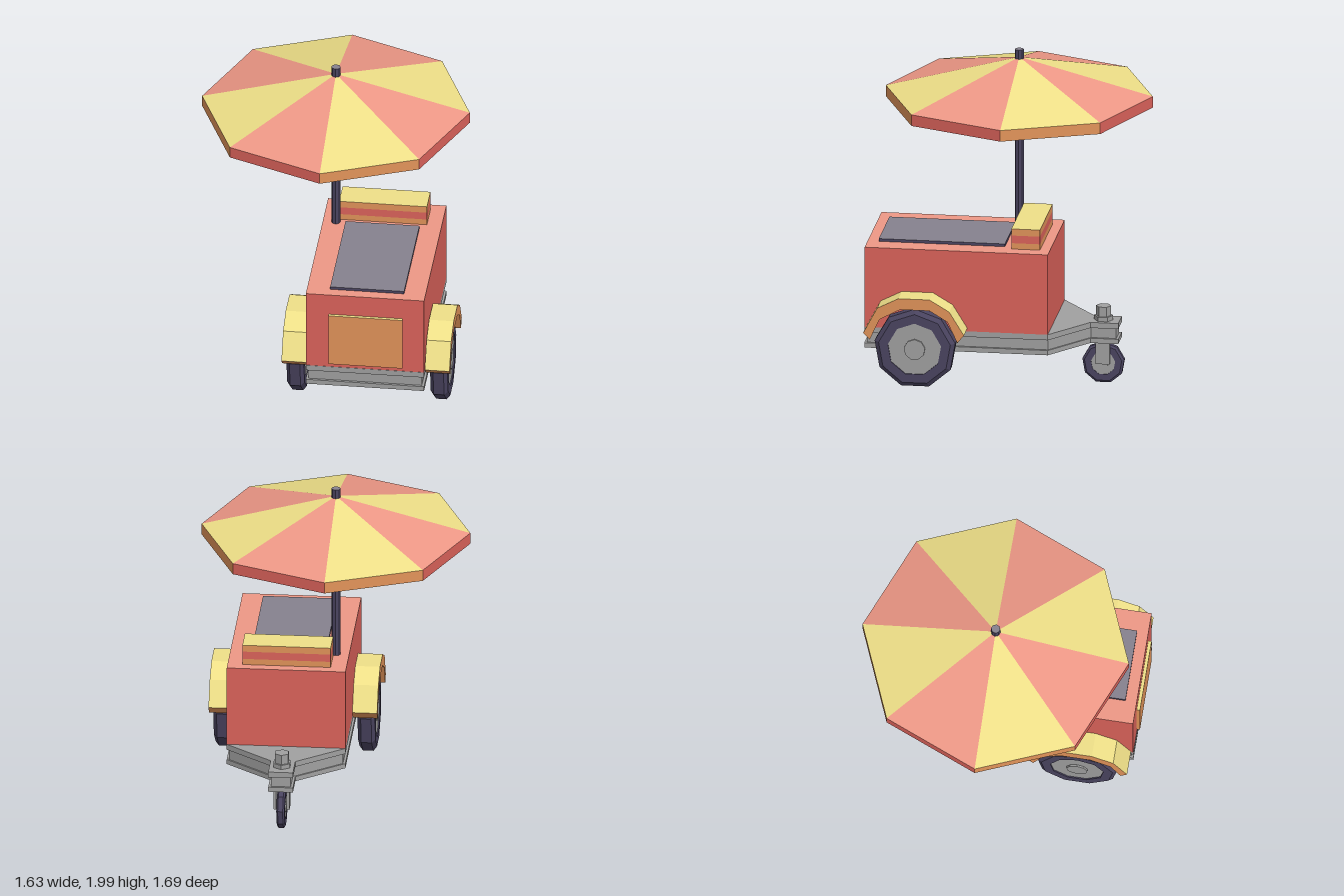
import * as THREE from 'three';

const mat = (color, side = THREE.FrontSide) => new THREE.MeshStandardMaterial({ color, side, flatShading: true });
const RED = mat(0xdc635b), PINK = mat(0xee9886), ORANGE = mat(0xe2945a), YELLOW = mat(0xefe088);
const DARK = mat(0x4a4460), LID = mat(0x86818e), GREY = mat(0xa0a0a0);
const RED_IN = mat(0xdc635b, THREE.BackSide), ORANGE_IN = mat(0xe2945a, THREE.BackSide);
const CX = 0.28; // centre line of the cart

function add(parent, name, geometry, material, x = 0, y = 0, z = 0) {
  const mesh = new THREE.Mesh(geometry, material);
  mesh.name = name;
  mesh.position.set(x, y, z);
  parent.add(mesh);
  return mesh;
}

// box given by its limits, with an optional different top colour
function box(parent, name, [x0, x1], [y0, y1], [z0, z1], side, top = side) {
  const g = new THREE.BoxGeometry(x1 - x0, y1 - y0, z1 - z0);
  return add(parent, name, g, [side, side, top, side, side, side], (x0 + x1) / 2, (y0 + y1) / 2, (z0 + z1) / 2);
}

// gives each triangle material 1 where test(normal, centre) holds, else material 0
function paint(source, test) {
  const g = source.index ? source.toNonIndexed() : source;
  const p = g.attributes.position;
  const t = new THREE.Triangle(), n = new THREE.Vector3(), c = new THREE.Vector3();
  g.clearGroups();
  for (let i = 0; i < p.count; i += 3) {
    t.setFromAttributeAndIndices(p, i, i + 1, i + 2);
    t.getNormal(n);
    t.getMidpoint(c);
    g.addGroup(i, 3, test(n, c) ? 1 : 0);
  }
  return g;
}

const shapeOf = pts => new THREE.Shape(pts.map(([x, y]) => new THREE.Vector2(x, y)));

// nine-sided disc or ring turned about the x axis
function turned(parent, name, profile, material) {
  const g = new THREE.LatheGeometry(profile.map(([r, h]) => new THREE.Vector2(r, h)), 9, Math.PI / 2);
  return add(parent, name, g.rotateZ(Math.PI / 2), material);
}

function wheel(name, r, w, rim, cap) {
  const group = new THREE.Group();
  group.name = name;
  const e = w * 0.6, s = r * 0.89, d = w * 0.85;
  turned(group, 'tyre', [[rim, -w], [s, -w], [r, -e], [r, e], [s, w], [rim, w], [rim, -w]], DARK);
  turned(group, 'rim', [[0, -d], [rim, -d], [rim, d], [0, d]], GREY);
  turned(group, 'hubCap', [[0, -w - 0.003], [cap, -w - 0.003], [cap, w + 0.003], [0, w + 0.003]], GREY);
  return group;
}

// plan of the frame: rectangle tapering to a narrow rear tongue
function framePlan(inset) {
  const a = 0.36 - inset, b = 0.075 - inset;
  const half = [[a, -0.83 + inset], [a, 0.29], [b, 0.51], [b, 0.68 - inset]];
  const other = half.map(([x, z]) => [-x, z]).reverse();
  return shapeOf([...half, ...other].map(([x, z]) => [x + CX, z]));
}

function frame(cart) {
  const layers = [['lowerFlange', 0.27, 0.3, 0], ['frameWeb', 0.3, 0.365, 0.015], ['upperFlange', 0.365, 0.4, 0]];
  for (const [name, y0, y1, inset] of layers) {
    const g = new THREE.ExtrudeGeometry(framePlan(inset), { depth: y1 - y0, bevelEnabled: false });
    g.rotateX(-Math.PI / 2);
    add(cart, name, paint(g, n => n.y < -0.9), [GREY, name === 'lowerFlange' ? DARK : GREY], 0, y0, 0);
  }
}

function fender(cart, name, outerX) {
  const outer = [[0.815, 0.41], [0.73, 0.57], [0.6, 0.636], [0.41, 0.636], [0.29, 0.565], [0.2, 0.42]];
  const inner = [[0.24, 0.37], [0.3, 0.5], [0.41, 0.567], [0.59, 0.567], [0.715, 0.5], [0.775, 0.37]];
  const g = new THREE.ExtrudeGeometry(shapeOf([...outer, ...inner]), { depth: 0.15, bevelEnabled: false });
  g.rotateY(-Math.PI / 2);
  const hub = new THREE.Vector3(0, 0.31, 0.505);
  const facesOut = (n, c) => Math.abs(n.x) < 0.5 && n.dot(c.clone().sub(hub).setX(0).normalize()) > 0.75;
  add(cart, name, paint(g, facesOut), [ORANGE, YELLOW], outerX, 0, 0);
}

function caster() {
  const group = new THREE.Group();
  group.name = 'caster';
  group.position.set(CX, 0, -0.58);
  const w = wheel('casterWheel', 0.13, 0.025, 0.075, 0.032);
  w.position.y = 0.13;
  group.add(w);
  for (const s of [-1, 1]) box(group, 'forkArm', [s * 0.04 - 0.009, s * 0.04 + 0.009], [0.13, 0.262], [-0.043, 0.043], GREY);
  box(group, 'forkBridge', [-0.049, 0.049], [0.255, 0.275], [-0.043, 0.043], GREY);
  add(group, 'collar', new THREE.CylinderGeometry(0.058, 0.058, 0.03, 6), GREY, 0, 0.412, 0);
  add(group, 'swivelPost', new THREE.CylinderGeometry(0.046, 0.046, 0.07, 6), GREY, 0, 0.453, 0);
  return group;
}

function parasol() {
  const group = new THREE.Group();
  group.name = 'parasol';
  group.position.set(0, 0, -0.025);
  add(group, 'pole', new THREE.CylinderGeometry(0.028, 0.028, 1.1, 8), [DARK, LID, DARK], 0, 1.45, 0);
  const R = 0.815, step = Math.PI / 4;
  for (let i = 0; i < 8; i++) {
    const even = i % 2 === 0;
    const ring = (r, h) => new THREE.CylinderGeometry(r, R, h, 1, 1, true, i * step, step);
    add(group, 'canopyPanel', ring(0, 0.215), even ? YELLOW : PINK, 0, 1.8425, 0);
    add(group, 'canopyRim', ring(R, 0.07), even ? ORANGE : RED, 0, 1.7, 0);
    add(group, 'canopyLining', ring(0, 0.2), even ? ORANGE_IN : RED_IN, 0, 1.765, 0);
  }
  return group;
}

export function createModel() {
  const cart = new THREE.Group();
  cart.name = 'vendorCart';

  // cabinet with hatch and lid
  box(cart, 'cabinet', [-0.08, 0.64], [0.4, 0.905], [-0.29, 0.828], RED, PINK);
  box(cart, 'frontHatch', [0.06, 0.51], [0.43, 0.77], [0.82, 0.848], ORANGE, YELLOW);
  box(cart, 'lid', [0.06, 0.51], [0.9, 0.922], [-0.01, 0.76], DARK, LID);

  // striped box on the back of the top
  const stripes = [[0.9, 0.942, ORANGE], [0.942, 0.99, RED], [0.99, 1.032, ORANGE]];
  stripes.forEach(([y0, y1, m], i) =>
    box(cart, 'storageBoxStripe', [0.015, 0.55], [y0, y1], [-0.23, -0.055], m, i === 2 ? YELLOW : m));

  frame(cart);

  // main wheels, fenders and axle
  for (const s of [1, -1]) {
    const w = wheel(s > 0 ? 'leftWheel' : 'rightWheel', 0.25, 0.053, 0.165, 0.065);
    w.position.set(CX + s * 0.437, 0.31, 0.505);
    cart.add(w);
  }
  fender(cart, 'leftFender', 0.793);
  fender(cart, 'rightFender', -0.08);
  const axle = new THREE.CylinderGeometry(0.03, 0.03, 0.84, 8).rotateZ(Math.PI / 2);
  add(cart, 'axle', axle, GREY, CX, 0.31, 0.505);

  cart.add(caster(), parasol());
  return cart;
}
